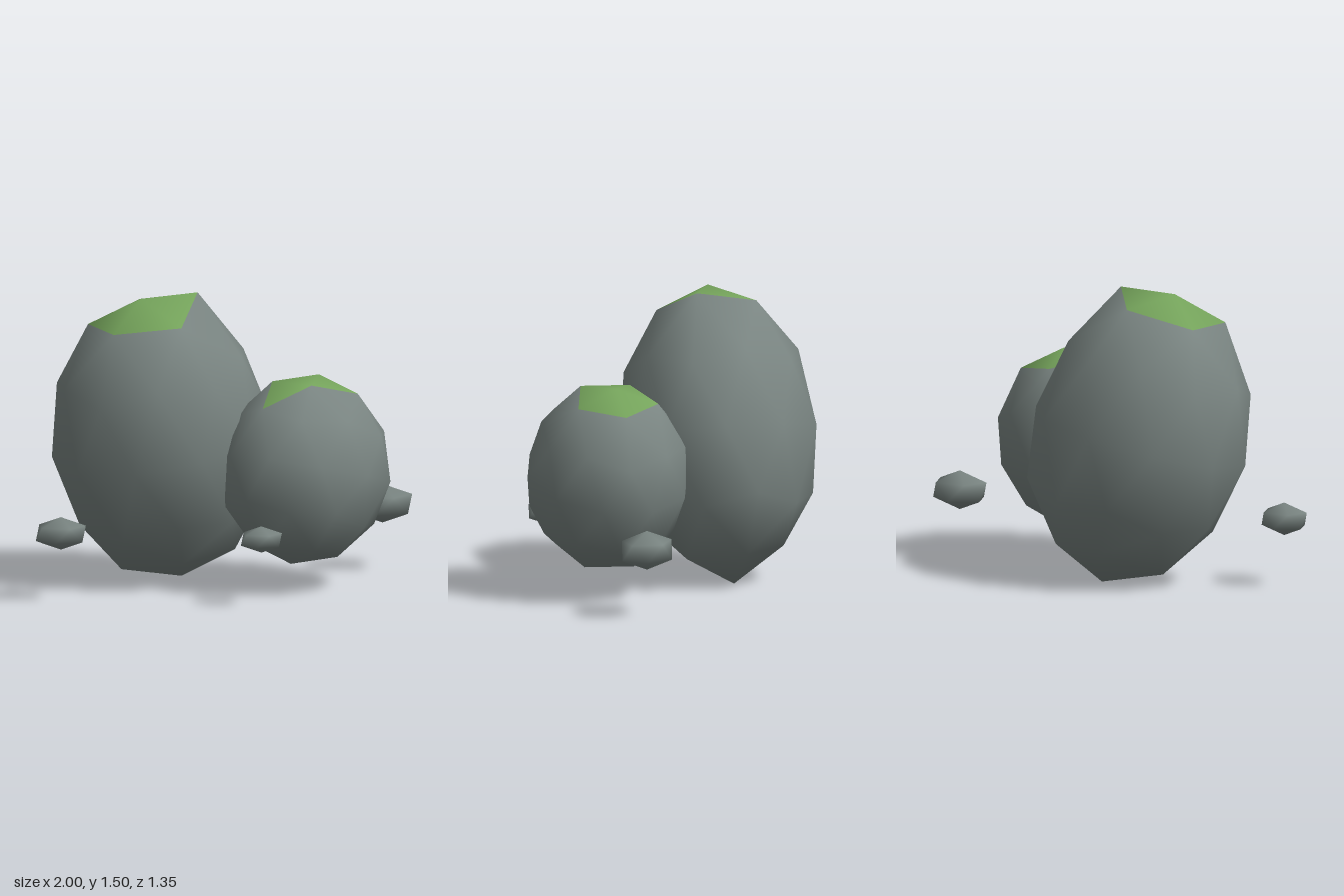
import * as THREE from 'three';
import { mergeVertices } from 'three/addons/utils/BufferGeometryUtils.js';

const UP = new THREE.Vector3(0, 1, 0);
const rad = THREE.MathUtils.degToRad;

const stone = new THREE.MeshStandardMaterial({ color: 0x7a8582 });
stone.name = 'stone';
const moss = new THREE.MeshStandardMaterial({ color: 0x76a55c });
moss.name = 'moss';

// Unit icosphere with a corner straight up and an upper ring corner towards +x
function icosphere(detail) {
  const raw = new THREE.IcosahedronGeometry(1, detail);
  raw.deleteAttribute('normal');
  raw.deleteAttribute('uv');
  const g = mergeVertices(raw, 1e-4);
  g.rotateZ(-Math.atan2(1, (1 + Math.sqrt(5)) / 2));
  return g;
}

// Direction at an azimuth (x towards z) and height on the unit sphere
function direction(azimuth, y) {
  const r = Math.sqrt(1 - y * y);
  return new THREE.Vector3(r * Math.cos(rad(azimuth)), y, r * Math.sin(rad(azimuth)));
}

// Leaning boulder with a moss cap on the faces around its top corner.
// Directions are local: azimuth 0 is the boulder's own long axis.
function boulder(name, { azimuth, size, axis, centre, extraMoss, nudges }) {
  const g = icosphere(1);
  const pos = g.attributes.position;
  const corner = (i) => new THREE.Vector3().fromBufferAttribute(pos, i);

  // Sort the faces into bare stone and moss
  const bare = [], mossy = [];
  for (let i = 0; i < g.index.count; i += 3) {
    const ids = [0, 1, 2].map((k) => g.index.getX(i + k));
    const mid = new THREE.Vector3();
    ids.forEach((id) => mid.add(corner(id)));
    mid.normalize();
    const isMoss = mid.y > 0.88 || (extraMoss && mid.dot(extraMoss) > 0.99);
    (isMoss ? mossy : bare).push(...ids);
  }
  g.setIndex([...bare, ...mossy]);
  g.addGroup(0, bare.length, 0);
  g.addGroup(bare.length, mossy.length, 1);

  // Corners to be shifted a little for an uneven surface
  const shifts = nudges.map(([dir, offset]) => {
    let best = 0;
    for (let i = 1; i < pos.count; i++) {
      if (corner(i).dot(dir) > corner(best).dot(dir)) best = i;
    }
    return [best, offset];
  });

  g.scale(...size);
  g.rotateY(-rad(azimuth));
  const lean = new THREE.Vector3(...axis).normalize();
  g.applyQuaternion(new THREE.Quaternion().setFromUnitVectors(UP, lean));
  g.translate(...centre);
  for (const [i, o] of shifts) {
    pos.setXYZ(i, pos.getX(i) + o[0], pos.getY(i) + o[1], pos.getZ(i) + o[2]);
  }
  g.computeVertexNormals();

  const mesh = new THREE.Mesh(g, [stone, moss]);
  mesh.name = name;
  return mesh;
}

// Small squashed stone
function pebble(name, size, centre) {
  const g = icosphere(0);
  g.scale(...size);
  g.translate(...centre);
  g.computeVertexNormals();
  const mesh = new THREE.Mesh(g, stone);
  mesh.name = name;
  return mesh;
}

export function createModel() {
  const model = new THREE.Group();
  model.name = 'mossyRocks';

  model.add(boulder('largeBoulder', {
    azimuth: -18,
    size: [0.575, 0.755, 0.512],
    axis: [-0.156, 0.973, 0.17],
    centre: [-0.308, 0.757, -0.173],
    nudges: [
      [direction(0, 0.851), [0, 0.06, 0]],
      [direction(144, 0.851), [0, 0.03, 0]],
      [direction(-72, 0.851), [0, 0.01, -0.01]],
      [direction(0, -1), [0, -0.015, -0.03]],
      [direction(108, -0.851), [0, 0.04, 0]],
      [direction(180, -0.851), [-0.02, 0, 0]],
      [direction(252, -0.851), [0, 0.05, -0.02]],
      [direction(324, -0.447), [0.01, 0, -0.015]],
    ],
  }));

  model.add(boulder('smallBoulder', {
    azimuth: -44,
    size: [0.475, 0.488, 0.42],
    axis: [0.168, 0.97, -0.2],
    centre: [0.4, 0.62, 0.075],
    extraMoss: direction(180, 0.765),
    nudges: [
      [direction(0, 0.851), [0, 0.025, 0]],
      [direction(-72, 0.851), [0, 0.02, 0]],
    ],
  }));

  model.add(pebble('leftPebble', [0.17, 0.1, 0.141], [0.846, 0.35, -0.41]));
  model.add(pebble('frontPebble', [0.117, 0.068, 0.1], [0.125, 0.352, 0.588]));
  model.add(pebble('rightPebble', [0.143, 0.084, 0.121], [-0.872, 0.352, 0.308]));
  return model;
}
